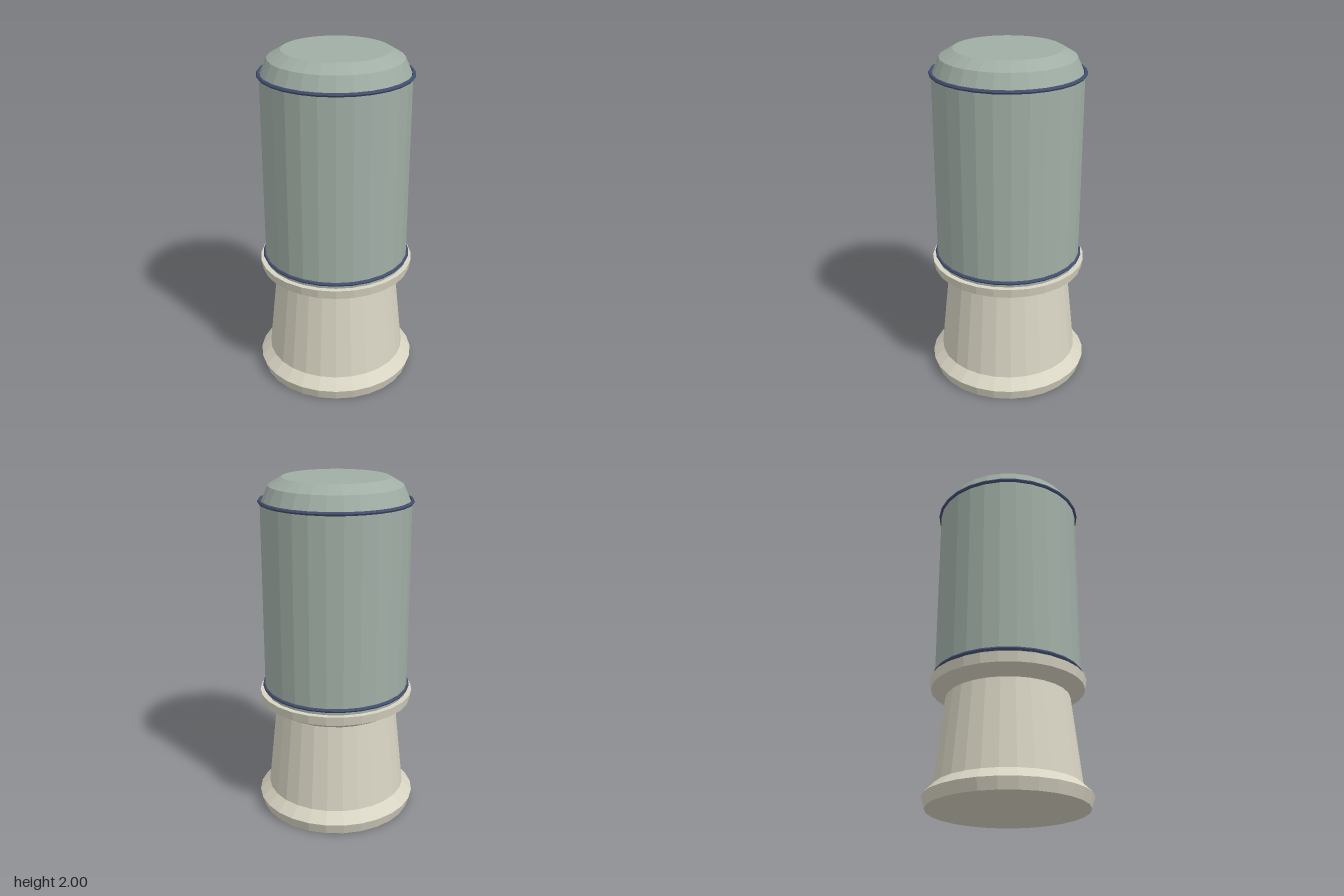
import * as THREE from 'three';

const SIDES = 28;

function mat(name, color) {
  const m = new THREE.MeshStandardMaterial({ color, flatShading: true });
  m.name = name;
  return m;
}

// Faceted solid of revolution from [radius, height] pairs, bottom to top
function turned(name, profile, material) {
  const pts = profile.map(([r, y]) => new THREE.Vector2(r, y));
  const mesh = new THREE.Mesh(new THREE.LatheGeometry(pts, SIDES), material);
  mesh.name = name;
  return mesh;
}

export function createModel() {
  const model = new THREE.Group();
  model.name = 'capsuleOnPedestal';
  const stone = mat('warm stone', 0xd8d4c3);
  const sage = mat('sage green', 0xa0aea5);
  const navy = mat('navy trim', 0x434f6e);

  // Pedestal: flared foot, tapering stem and collar
  model.add(turned('pedestal', [
    [0, 0], [0.455, 0], [0.475, 0.065], [0.415, 0.125],
    [0.36, 0.64], [0.445, 0.69], [0.455, 0.745], [0, 0.745],
  ], stone));

  // Cylindrical body
  model.add(turned('body', [[0, 0.745], [0.425, 0.745], [0.425, 1.87], [0, 1.87]], sage));

  // Rounded cap with a flat top
  model.add(turned('cap', [[0.42, 1.865], [0.38, 1.955], [0.303, 2], [0, 2]], sage));

  // Trim rings at the bottom and top of the body
  for (const [name, y] of [['lowerRing', 0.773], ['upperRing', 1.868]]) {
    const ring = new THREE.Mesh(new THREE.TorusGeometry(0.428, 0.011, 6, SIDES), navy);
    ring.name = name;
    ring.rotation.x = Math.PI / 2;
    ring.position.y = y;
    model.add(ring);
  }
  return model;
}
